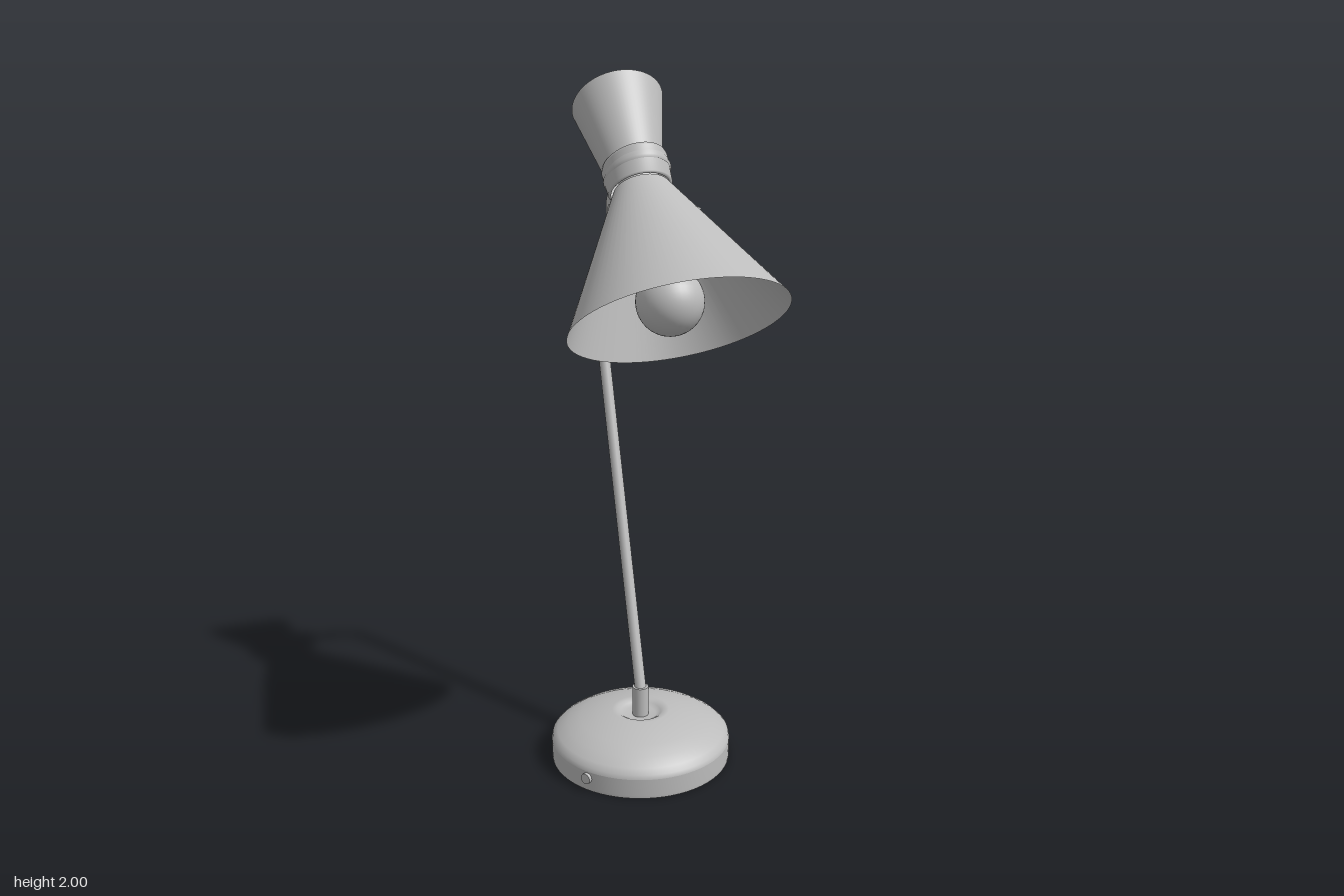
import * as THREE from 'three';

const metal = new THREE.MeshStandardMaterial({ color: 0xbcbcbc, side: THREE.DoubleSide });
metal.name = 'grey metal';

const UP = new THREE.Vector3(0, 1, 0);
const v = (x, y, z) => new THREE.Vector3(x, y, z);

function part(parent, name, geometry) {
  const mesh = new THREE.Mesh(geometry, metal);
  mesh.name = name;
  parent.add(mesh);
  return mesh;
}

// Round rod between two points, with its own radius at each end
function rod(parent, name, a, b, ra, rb = ra, sides = 24) {
  const mesh = part(parent, name, new THREE.CylinderGeometry(rb, ra, a.distanceTo(b), sides));
  mesh.position.lerpVectors(a, b, 0.5);
  mesh.quaternion.setFromUnitVectors(UP, b.clone().sub(a).normalize());
  return mesh;
}

// Surface through tilted rings, each given by its front and back points and its half width
function loft(rings, sides = 72) {
  const pos = [], index = [];
  for (const [zf, yf, zb, yb, rx, cx] of rings) {
    for (let i = 0; i < sides; i++) {
      const t = (i / sides) * Math.PI * 2, c = Math.cos(t) / 2;
      pos.push(cx + Math.sin(t) * rx, (yf + yb) / 2 + c * (yf - yb), (zf + zb) / 2 + c * (zf - zb));
    }
  }
  for (let r = 0; r < rings.length - 1; r++) {
    for (let i = 0; i < sides; i++) {
      const j = (i + 1) % sides, a = r * sides, b = a + sides;
      index.push(a + i, a + j, b + j, a + i, b + j, b + i);
    }
  }
  const g = new THREE.BufferGeometry();
  g.setAttribute('position', new THREE.Float32BufferAttribute(pos, 3));
  g.setIndex(index);
  g.computeVertexNormals();
  return g;
}

function lathe(points, segments = 64) {
  return new THREE.LatheGeometry(points.map(([r, y]) => new THREE.Vector2(r, y)), segments);
}

export function createModel() {
  const lamp = new THREE.Group();
  lamp.name = 'deskLamp';

  // Domed base with a shallow recess around the post
  const base = new THREE.Group();
  base.name = 'base';
  base.position.set(-0.002, 0, -0.1);
  lamp.add(base);
  part(base, 'baseWall', lathe([[0.266, 0], [0.267, 0.01], [0.267, 0.06]]));
  part(base, 'baseDome', lathe([[0.267, 0.06], [0.264, 0.073], [0.25, 0.087], [0.22, 0.106],
    [0.18, 0.123], [0.13, 0.137], [0.085, 0.145], [0.07, 0.145], [0.06, 0.138], [0.045, 0.13], [0, 0.128]]));
  part(base, 'baseUnderside', new THREE.CircleGeometry(0.266, 64)).rotation.x = Math.PI / 2;
  const port = rod(base, 'cablePort', v(-0.21, 0.04, 0.15), v(-0.225, 0.04, 0.16), 0.016);
  port.scale.set(1, 1, 1);

  // Post and bent stem
  rod(lamp, 'post', v(-0.002, 0.12, -0.1), v(-0.002, 0.22, -0.1), 0.024);
  const stem = new THREE.CurvePath();
  const p0 = v(-0.002, 0.2, -0.095), p1 = v(-0.002, 1.15, -0.415);
  const p2 = v(-0.002, 1.34, -0.405), p3 = v(-0.002, 1.55, -0.27);
  stem.add(new THREE.LineCurve3(p0, p1));
  stem.add(new THREE.CubicBezierCurve3(p1, v(-0.002, 1.22, -0.438), v(-0.002, 1.27, -0.445), p2));
  stem.add(new THREE.LineCurve3(p2, p3));
  part(lamp, 'stem', new THREE.TubeGeometry(stem, 90, 0.017, 16));

  // Swivel joint
  const joint = new THREE.Group();
  joint.name = 'swivelJoint';
  lamp.add(joint);
  const hub = v(-0.004, 1.622, -0.235);
  rod(joint, 'stemCup', v(-0.002, 1.533, -0.284), v(-0.002, 1.56, -0.268), 0.022, 0.034);
  rod(joint, 'stemNeck', v(-0.002, 1.558, -0.269), v(-0.003, 1.6, -0.245), 0.032, 0.024);
  for (const side of [-1, 1]) {
    rod(joint, 'jointDisc', v(hub.x + side * 0.004, hub.y, hub.z), v(hub.x + side * 0.032, hub.y, hub.z), 0.05, 0.05, 40);
    rod(joint, 'jointScrew', v(hub.x + side * 0.032, hub.y, hub.z), v(hub.x + side * 0.038, hub.y, hub.z), 0.016);
  }
  rod(joint, 'jointCore', v(hub.x - 0.006, hub.y, hub.z), v(hub.x + 0.006, hub.y, hub.z), 0.042);
  rod(joint, 'shadeArm', hub, v(-0.008, 1.69, -0.14), 0.024);

  // Head: shade, collar and flared cap
  const head = new THREE.Group();
  head.name = 'head';
  lamp.add(head);
  part(head, 'shade', loft([
    [0.45, 1.55, -0.035, 1.232, 0.292, -0.002],
    [-0.01, 1.743, -0.108, 1.645, 0.078, -0.009],
  ]));
  part(head, 'collar', loft([
    [-0.006, 1.746, -0.125, 1.643, 0.08, -0.01],
    [0, 1.753, -0.134, 1.643, 0.088, -0.01],
    [-0.028, 1.818, -0.192, 1.686, 0.089, -0.011],
    [-0.034, 1.823, -0.196, 1.695, 0.086, -0.011],
    [-0.06, 1.815, -0.18, 1.71, 0.07, -0.011],
  ]));
  // Raised bead around the middle of the collar
  part(head, 'collarBead', loft([
    [-0.011, 1.786, -0.163, 1.663, 0.088, -0.01],
    [-0.012, 1.795, -0.171, 1.665, 0.092, -0.01],
    [-0.021, 1.805, -0.178, 1.676, 0.088, -0.01],
  ]));
  const capTop = [-0.163, 2, -0.307, 1.815, 0.128, -0.016];
  part(head, 'cap', loft([[-0.057, 1.795, -0.18, 1.69, 0.08, -0.011], capTop]));
  part(head, 'capLid', loft([capTop, [-0.235, 1.9075, -0.235, 1.9075, 0, -0.016]]));

  // Switch peg on the left of the shade
  rod(head, 'switchPeg', v(0.07, 1.665, -0.025), v(0.122, 1.644, 0.0), 0.008, 0.008, 12);
  rod(head, 'switchTip', v(0.116, 1.646, -0.003), v(0.132, 1.64, 0.005), 0.012, 0.01, 12);

  // Bulb and socket, aligned with the shade
  const bulbCentre = v(-0.008, 1.436, 0.155), socketTop = v(-0.01, 1.72, -0.08);
  const axis = socketTop.clone().sub(bulbCentre).normalize();
  const profile = [];
  for (let i = 0; i <= 16; i++) {
    const t = (i / 16) * 2.45;
    profile.push([Math.sin(t) * 0.09, -Math.cos(t) * 0.09]);
  }
  profile.push([0.047, 0.095], [0.043, 0.13], [0.042, 0.17]);
  const bulb = part(head, 'bulb', lathe(profile, 40));
  bulb.position.copy(bulbCentre);
  bulb.quaternion.setFromUnitVectors(UP, axis);
  rod(head, 'socket', bulbCentre.clone().addScaledVector(axis, 0.16), socketTop, 0.055);

  return lamp;
}
